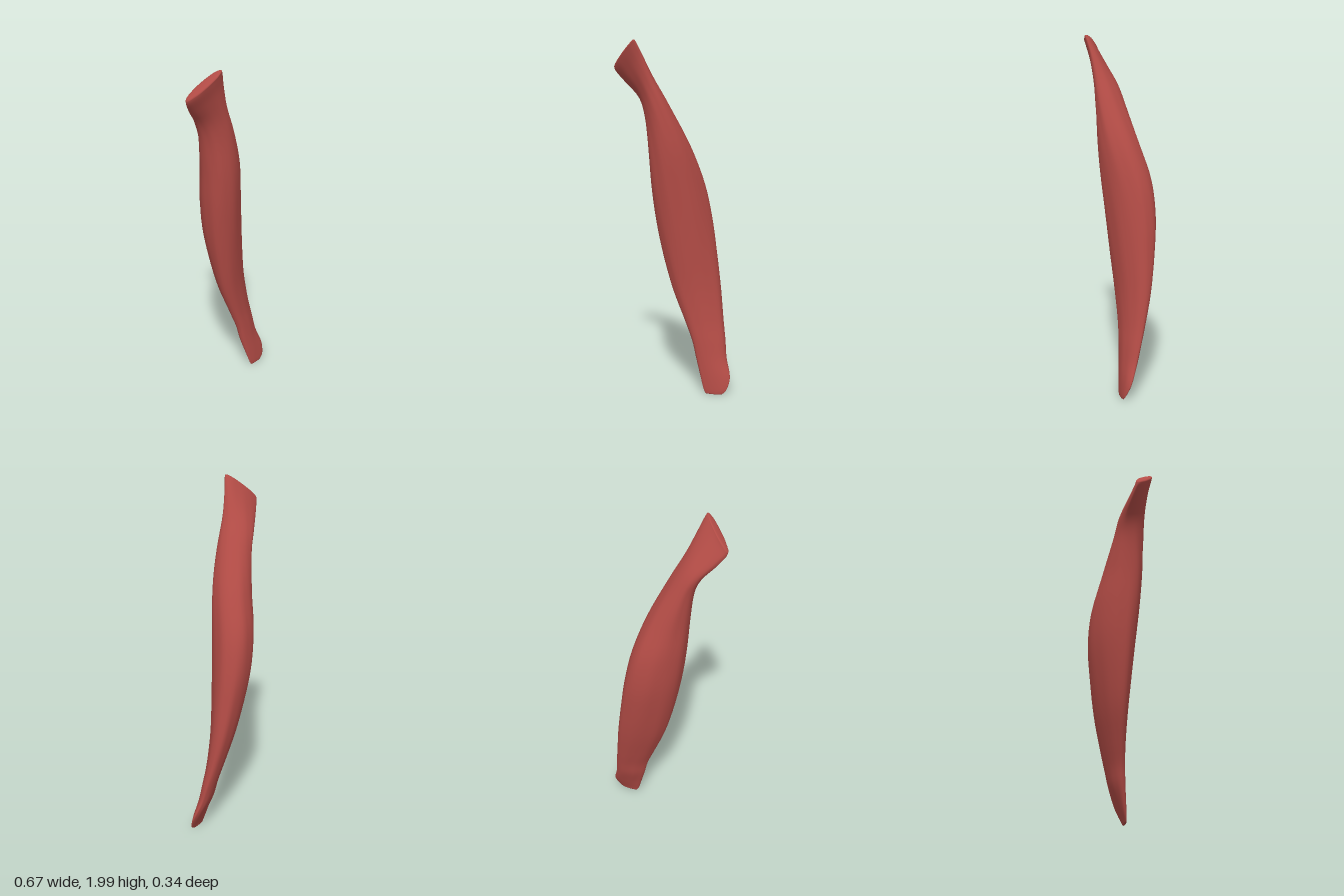
import * as THREE from 'three';

// Cross-sections from bottom to top:
// [centre y, min x, max x, min z, max z, x-z skew (-1..1), rise of the ring along x]
const SECTIONS = [
  [0.003, 0.205, 0.295, 0.050, 0.064, -0.3, 0],
  [0.03, 0.190, 0.322, 0.040, 0.064, -0.4, 0],
  [0.10, 0.168, 0.336, 0.008, 0.060, -0.5, 0],
  [0.20, 0.138, 0.306, -0.030, 0.053, -0.5, 0],
  [0.30, 0.112, 0.292, -0.055, 0.048, -0.55, 0],
  [0.42, 0.063, 0.273, -0.085, 0.045, -0.55, 0],
  [0.60, -0.010, 0.250, -0.125, 0.052, -0.5, 0],
  [0.80, -0.065, 0.222, -0.155, 0.070, -0.42, 0],
  [1.00, -0.105, 0.192, -0.172, 0.090, -0.35, 0],
  [1.20, -0.130, 0.152, -0.157, 0.110, -0.28, 0],
  [1.40, -0.145, 0.088, -0.103, 0.125, -0.1, 0.05],
  [1.60, -0.168, -0.010, -0.050, 0.130, 0.25, 0.3],
  [1.725, -0.205, -0.085, -0.022, 0.134, 0.55, 0.8],
  [1.83, -0.275, -0.137, 0.020, 0.148, 0.75, 1.0],
  [1.90, -0.325, -0.168, 0.050, 0.166, 0.83, 0.98],
  [1.923, -0.335, -0.180, 0.058, 0.172, 0.85, 0.95],
];
const STEPS = 4;
const SIDES = 40;

// Catmull-Rom blend of neighbouring sections
function sectionAt(u) {
  const last = SECTIONS.length - 1;
  const i = Math.min(Math.floor(u), last - 1);
  const t = u - i;
  const row = (k) => SECTIONS[Math.max(0, Math.min(last, k))];
  return row(i).map((b, k) => {
    const a = row(i - 1)[k], c = row(i + 1)[k], d = row(i + 2)[k];
    return b + 0.5 * t * (c - a + t * (2 * a - 5 * b + 4 * c - d + t * (3 * (b - c) + d - a)));
  });
}

// One ring of the skewed ellipse, with faint lengthwise fibres
function addRing(positions, [y, x0, x1, z0, z1, skew, rise], u, scale = 1) {
  const cx = (x0 + x1) / 2, cz = (z0 + z1) / 2;
  const phase = Math.acos(skew);
  for (let j = 0; j < SIDES; j++) {
    const t = (j / SIDES) * Math.PI * 2;
    const fibre = 1 + 0.012 * Math.sin(7 * t + u * 0.9) + 0.008 * Math.sin(11 * t - u * 0.6);
    const dx = ((x1 - x0) / 2) * Math.cos(t) * scale * fibre;
    const dz = ((z1 - z0) / 2) * Math.cos(t - phase) * scale * fibre;
    positions.push(cx + dx, y + rise * dx, cz + dz);
  }
}

function muscleGeometry() {
  const positions = [], index = [];
  const total = (SECTIONS.length - 1) * STEPS;

  // Rounded lower tip, body, then the slanted cut at the upper end
  addRing(positions, SECTIONS[0], 0, 0.001);
  for (let i = 0; i <= total; i++) addRing(positions, sectionAt(i / STEPS), i / STEPS);
  const end = SECTIONS[SECTIONS.length - 1];
  for (const [scale, lift] of [[0.93, 0.006], [0.6, 0.008], [0.001, 0.008]]) {
    addRing(positions, [end[0] + lift, ...end.slice(1)], SECTIONS.length - 1, scale);
  }

  const rings = positions.length / 3 / SIDES;
  for (let i = 0; i < rings - 1; i++) {
    for (let j = 0; j < SIDES; j++) {
      const a = i * SIDES + j, b = i * SIDES + ((j + 1) % SIDES);
      index.push(a, a + SIDES, b, b, a + SIDES, b + SIDES);
    }
  }
  const geometry = new THREE.BufferGeometry();
  geometry.setAttribute('position', new THREE.Float32BufferAttribute(positions, 3));
  geometry.setIndex(index);
  geometry.computeVertexNormals();
  return geometry;
}

export function createModel() {
  const group = new THREE.Group();
  group.name = 'muscle';
  const red = new THREE.MeshStandardMaterial({ color: 0xb34c46 });
  red.name = 'muscleRed';
  const belly = new THREE.Mesh(muscleGeometry(), red);
  belly.name = 'muscleBelly';
  group.add(belly);
  return group;
}
